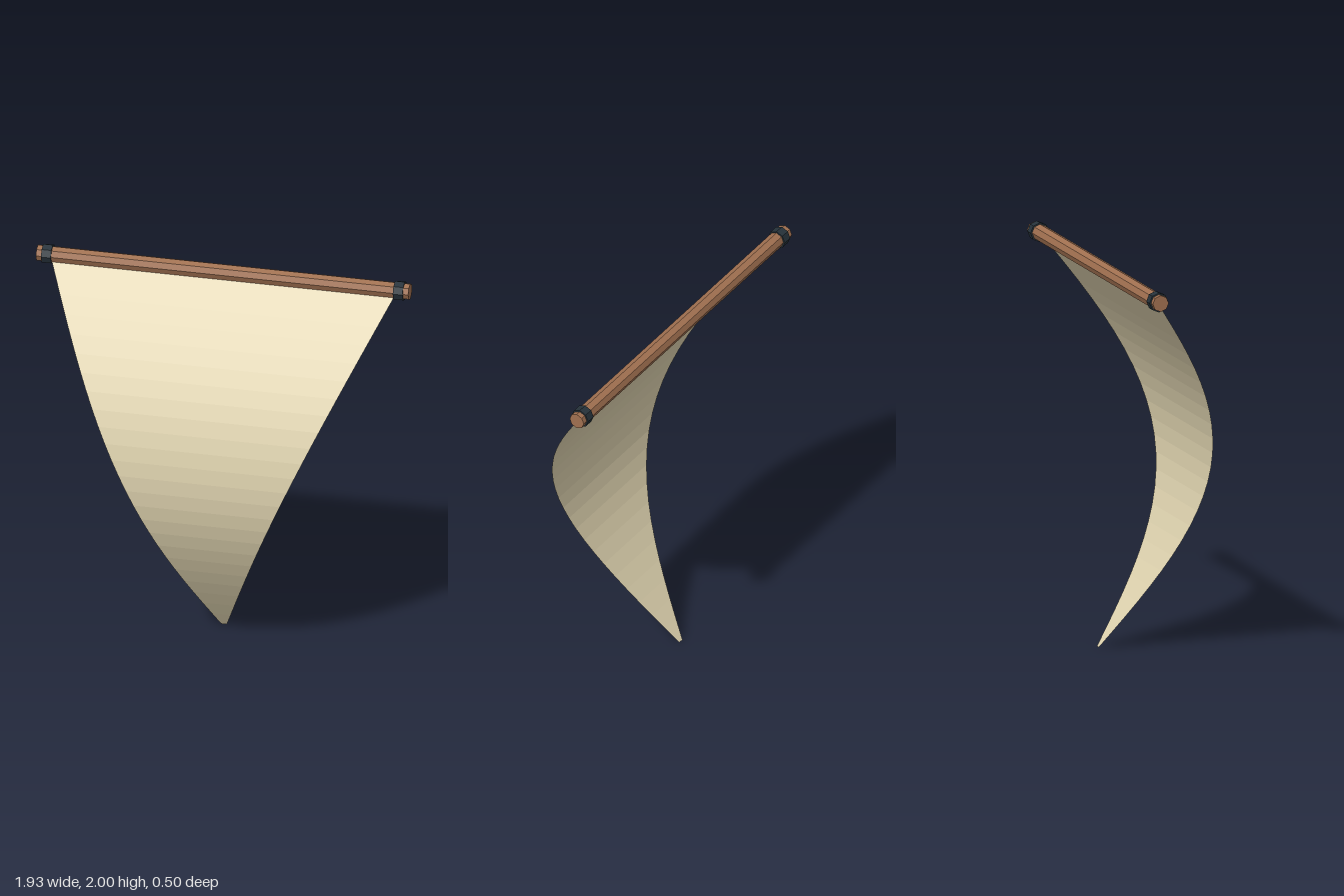
import * as THREE from 'three';

const SPAR_Y = 1.95, SPAR_Z = -0.2;

// Eight-sided bar lying along x, with a corner pointing straight up
function bar(name, radius, length, x, material) {
  const geometry = new THREE.CylinderGeometry(radius, radius, length, 8).rotateZ(Math.PI / 2);
  const mesh = new THREE.Mesh(geometry, material);
  mesh.position.set(x, SPAR_Y, SPAR_Z);
  mesh.name = name;
  return mesh;
}

export function createModel() {
  const group = new THREE.Group();
  group.name = 'hangingSail';
  const wood = new THREE.MeshStandardMaterial({ color: 0xa07050, flatShading: true });
  const iron = new THREE.MeshStandardMaterial({ color: 0x26323a, flatShading: true });
  const cloth = new THREE.MeshStandardMaterial({ color: 0xe0d4b0, flatShading: true, side: THREE.DoubleSide });

  // Wooden spar with a dark band near each end
  group.add(bar('spar', 0.042, 1.926, 0, wood));
  for (const side of [-1, 1]) {
    group.add(bar(side > 0 ? 'leftBand' : 'rightBand', 0.05, 0.05, side * 0.91, iron));
  }

  // Sail: narrows to a blunt tip with slightly hollow edges, and billows forward
  const sail = new THREE.PlaneGeometry(2, 1, 8, 24);
  const p = sail.attributes.position;
  for (let i = 0; i < p.count; i++) {
    const t = 0.5 - p.getY(i); // 0 at the spar, 1 at the tip
    const bow = Math.sin(Math.PI * t);
    const halfWidth = 0.9 - 0.885 * t - 0.022 * bow;
    p.setXYZ(i, p.getX(i) * halfWidth, SPAR_Y * (1 - t), SPAR_Z + 0.45 * bow);
  }
  sail.computeVertexNormals();
  const sailMesh = new THREE.Mesh(sail, cloth);
  sailMesh.name = 'sail';
  group.add(sailMesh);

  return group;
}
